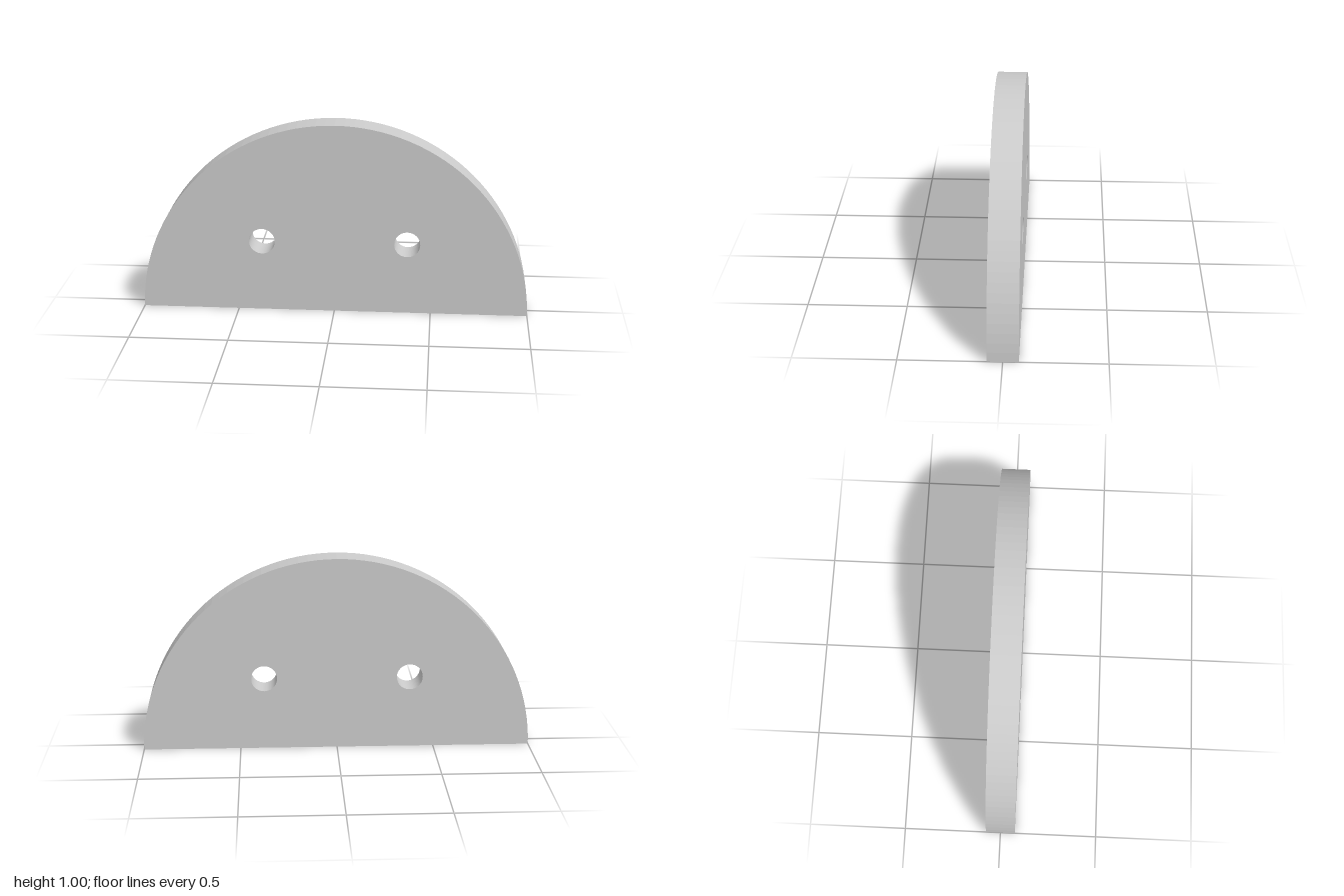
import * as THREE from 'three';

const RADIUS = 1;
const THICKNESS = 0.152;
const HOLE_RADIUS = 0.067;
const HOLE_OFFSET = 0.375;

export function createModel() {
  const group = new THREE.Group();
  group.name = 'halfRoundPlate';

  // Half-disc outline, closed along the flat base
  const outline = new THREE.Shape();
  outline.absarc(0, 0, RADIUS, 0, Math.PI, false);
  outline.closePath();

  // Pair of mirrored through holes
  for (const side of [-1, 1]) {
    const hole = new THREE.Path();
    hole.absarc(side * HOLE_OFFSET, HOLE_OFFSET, HOLE_RADIUS, 0, Math.PI * 2, true);
    outline.holes.push(hole);
  }

  // Plate, centred on its thickness
  const geometry = new THREE.ExtrudeGeometry(outline, {
    depth: THICKNESS,
    bevelEnabled: false,
    curveSegments: 32,
  });
  geometry.translate(0, 0, -THICKNESS / 2);

  const plate = new THREE.Mesh(geometry, new THREE.MeshStandardMaterial({ color: 0xcccccc }));
  plate.name = 'plate';
  group.add(plate);
  return group;
}
